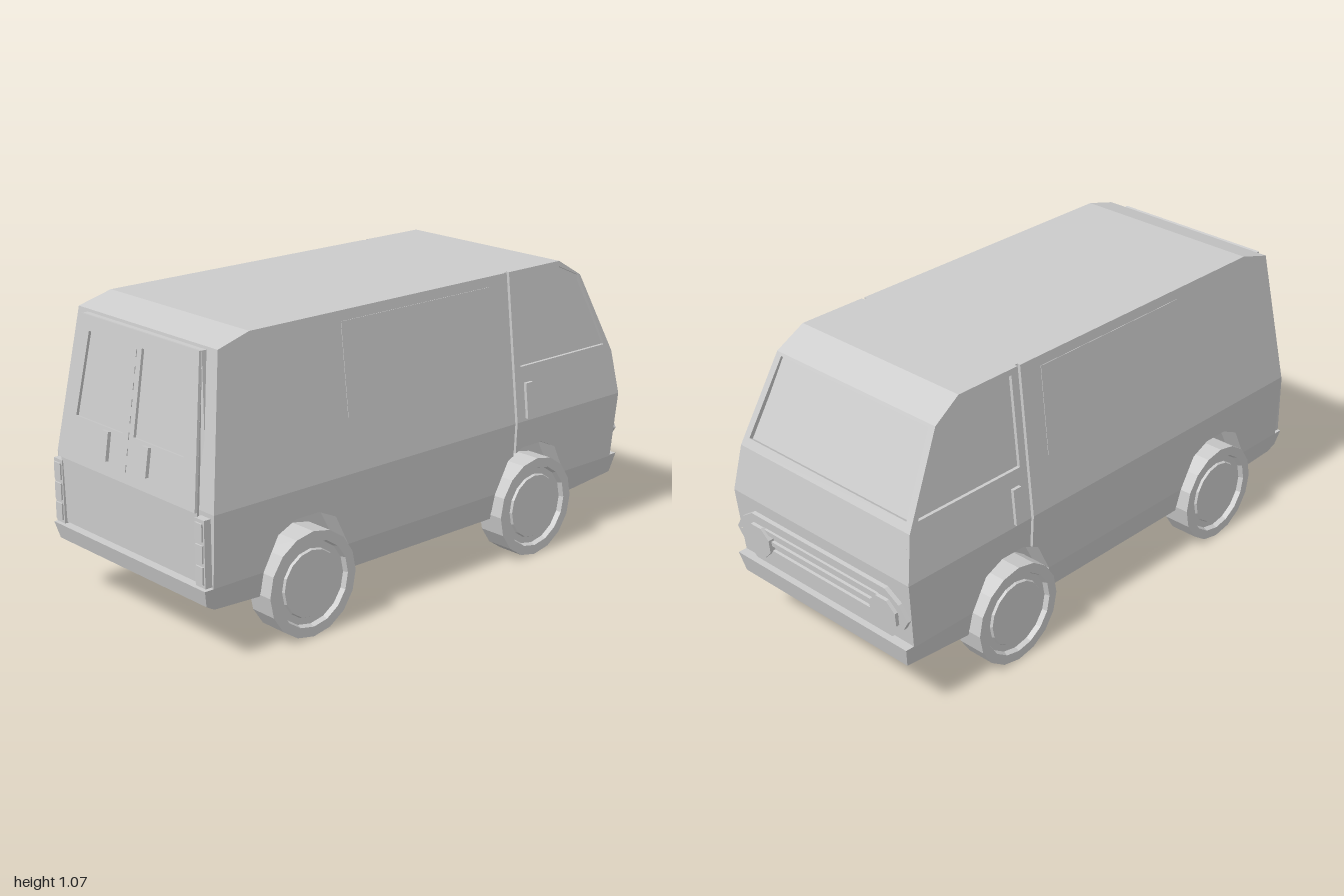
import * as THREE from 'three';

const mat = new THREE.MeshStandardMaterial({ color: 0xcccccc, flatShading: true });

// half-width of the body at height y
const WIDTHS = [[0.17, 0.4], [0.27, 0.422], [0.52, 0.432], [1.066, 0.37]];
function halfWidth(y) {
  let i = 0;
  while (i < WIDTHS.length - 2 && y > WIDTHS[i + 1][0]) i++;
  const [a, wa] = WIDTHS[i], [b, wb] = WIDTHS[i + 1];
  return wa + (wb - wa) * (y - a) / (b - a);
}

function shapeOf(pts, holes = []) {
  const v = (list) => list.map(([x, y]) => new THREE.Vector2(x, y));
  const s = new THREE.Shape(v(pts));
  for (const h of holes) s.holes.push(new THREE.Path(v(h)));
  return s;
}

export function createModel() {
  const van = new THREE.Group();
  van.name = 'van';

  function add(name, geo, parent = van) {
    const m = new THREE.Mesh(geo, mat);
    m.name = name;
    parent.add(m);
    return m;
  }

  function box(name, x, y, z, sx, sy, sz, parent) {
    const m = add(name, new THREE.BoxGeometry(sx, sy, sz), parent);
    m.position.set(x, y, z);
    return m;
  }

  // side-profile solid whose two flanks are moved to z0(y) and z1(y)
  function slab(name, pts, z0, z1, holes) {
    const g = new THREE.ExtrudeGeometry(shapeOf(pts, holes), { depth: 1, bevelEnabled: false });
    const p = g.attributes.position;
    for (let i = 0; i < p.count; i++) {
      const w = halfWidth(p.getY(i));
      p.setZ(i, p.getZ(i) < 0.5 ? z0(w) : z1(w));
    }
    g.computeVertexNormals();
    return add(name, g);
  }
  const full = (name, pts, inset = 0) => slab(name, pts, (w) => inset - w, (w) => w - inset);
  function skins(name, pts, outer, inner, holes) {
    slab(name + 'Left', pts, (w) => w + inner, (w) => w + outer, holes);
    slab(name + 'Right', pts, (w) => -w - outer, (w) => -w - inner, holes);
  }

  // group lying on a sloping end face: local x across, y up the slope, z outward
  function face(name, a, b, dir) {
    const g = new THREE.Group();
    g.name = name;
    const X = new THREE.Vector3(0, 0, -dir);
    const Y = new THREE.Vector3(b[0] - a[0], b[1] - a[1], 0).normalize();
    g.applyMatrix4(new THREE.Matrix4().makeBasis(X, Y, X.clone().cross(Y)).setPosition(a[0], a[1], 0));
    van.add(g);
    return g;
  }
  const plate = (name, pts, holes, depth, parent) =>
    add(name, new THREE.ExtrudeGeometry(shapeOf(pts, holes), { depth, bevelEnabled: false }), parent);

  // lower body, including both bumpers
  full('rearBumper', [[-0.76, 0.18], [-0.95, 0.19], [-0.985, 0.21], [-1, 0.27], [-0.76, 0.27]]);
  full('sill', [[-0.39, 0.17], [0.325, 0.17], [0.325, 0.27], [-0.39, 0.27]]);
  full('frontBumper', [[0.695, 0.17], [0.98, 0.2], [0.997, 0.275], [0.695, 0.275]]);

  // middle body with wheel arches
  full('cargoLower', [[-0.965, 0.27], [-0.76, 0.27], [-0.7, 0.385], [-0.625, 0.42], [-0.525, 0.42],
    [-0.45, 0.385], [-0.39, 0.27], [0.325, 0.27], [0.385, 0.385], [0.412, 0.397], [0.412, 0.52], [-0.965, 0.52]]);
  full('cabLower', [[0.424, 0.404], [0.46, 0.42], [0.56, 0.42], [0.635, 0.385], [0.695, 0.27],
    [0.962, 0.27], [0.985, 0.52], [0.424, 0.52]]);
  full('doorGap', [[0.4, 0.41], [0.44, 0.415], [0.44, 0.53], [0.4, 0.53]], 0.012);

  // upper body: cargo hold, cab core with recessed windscreen, door skins
  full('cargoUpper', [[-0.965, 0.52], [-0.89, 1.03], [-0.76, 1.066], [0.412, 1.066], [0.412, 0.52]]);
  full('cabCore', [[0.4, 0.52], [0.985, 0.52], [0.955, 0.69], [0.94, 0.72], [0.925, 0.713],
    [0.792, 0.982], [0.805, 0.99], [0.8, 1.0], [0.69, 1.066], [0.4, 1.066]], 0.012);
  skins('cabDoor', [[0.424, 0.52], [0.985, 0.52], [0.955, 0.69], [0.8, 1.0], [0.69, 1.066], [0.424, 1.066]],
    0, -0.026, [[[0.455, 0.72], [0.915, 0.72], [0.79, 1.0], [0.69, 1.045], [0.455, 1.045]]]);
  skins('cargoPanel', [[-0.38, 0.71], [0.32, 0.71], [0.32, 1.03], [-0.38, 1.03]], 0.002, -0.01);
  skins('doorHandle', [[0.468, 0.53], [0.505, 0.53], [0.505, 0.66], [0.468, 0.66]], 0.012, -0.01);

  // front grille and headlights
  const front = face('grille', [0.962, 0.27], [0.985, 0.52], 1);
  const half = [[0.33, 0.205], [0.39, 0.165], [0.425, 0.112], [0.4, 0.07], [0.34, 0.015]];
  const ring = (s) => {
    const r = half.map(([x, y]) => [x - 0.02 * s, 0.11 + (y - 0.11) * (1 - 0.18 * s)]);
    return [...r, ...r.map(([x, y]) => [-x, y]).reverse()];
  };
  plate('grilleFrame', ring(0), [ring(1)], 0.016, front);
  plate('grilleInnerFrame', ring(1), [ring(2.4)], 0.009, front);
  for (const y of [0.07, 0.108, 0.146]) box('grilleBar', 0, y, 0.004, 0.66, 0.018, 0.014, front);
  for (const s of [-1, 1]) {
    const lamp = add('headlight', new THREE.CylinderGeometry(0.066, 0.066, 0.024, 8), front);
    lamp.rotation.set(Math.PI / 2, Math.PI / 8, 0);
    lamp.position.set(s * 0.312, 0.1, 0.01);
  }

  // rear doors with two recessed windows
  full('rearDoors', [[-0.95, 0.28], [-0.982, 0.28], [-0.988, 0.52], [-0.91, 1.02], [-0.87, 1.02], [-0.95, 0.52]], 0.055);
  const rear = face('rearDoorFace', [-0.988, 0.52], [-0.91, 1.02], -1);
  const pane = (s) => [[s * 0.03, 0.16], [s * 0.295, 0.16], [s * 0.265, 0.455], [s * 0.03, 0.455]];
  plate('rearWindowFrame', [[-0.377, 0], [0.377, 0], [0.32, 0.506], [-0.32, 0.506]], [pane(1), pane(-1)], 0.01, rear);
  for (const s of [-1, 1]) {
    box('rearDoorHandle', s * 0.11, 0.1, 0.012, 0.035, 0.1, 0.022, rear);
    // tail light: upright housing with three lenses
    box('tailLight', -0.975, 0.39, s * 0.391, 0.034, 0.23, 0.048);
    for (let i = 0; i < 3; i++) box('tailLightLens', -0.985, 0.317 + i * 0.073, s * 0.391, 0.026, 0.06, 0.036);
  }
  for (let i = 0; i < 8; i++) box('rearDoorSeal', 0, 0.05 + i * 0.055, 0.009, 0.012, 0.025, 0.008, rear);

  // wheels and the inner walls of the wheel wells
  const tyre = [[0, 0.35], [0.187, 0.35], [0.187, 0.456], [0.152, 0.456], [0.146, 0.438],
    [0.122, 0.438], [0.118, 0.447], [0, 0.447]].map(([r, y]) => new THREE.Vector2(r, y));
  const wheelGeo = new THREE.LatheGeometry(tyre, 16);
  for (const x of [-0.575, 0.51]) {
    box('wheelWell', x, 0.31, 0, 0.39, 0.28, 0.69);
    for (const s of [-1, 1]) {
      const wheel = add(x > 0 ? 'frontWheel' : 'rearWheel', wheelGeo);
      wheel.rotation.x = s * Math.PI / 2;
      wheel.position.set(x, 0.187, 0);
    }
  }
  return van;
}
